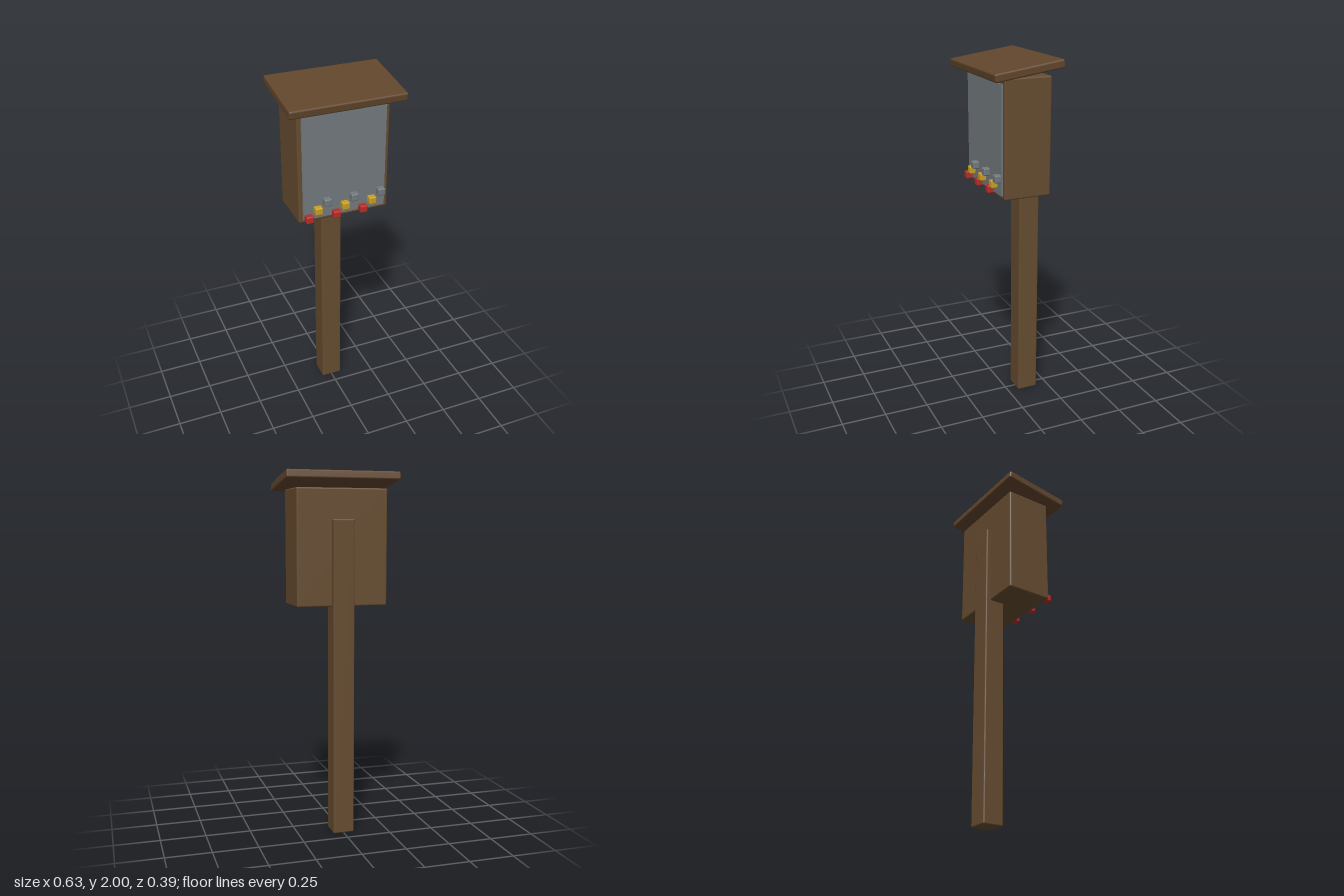
import * as THREE from 'three';
import { RoundedBoxGeometry } from 'three/addons/geometries/RoundedBoxGeometry.js';

const paint = (name, color) => {
  const m = new THREE.MeshStandardMaterial({ color });
  m.name = name;
  return m;
};

export function createModel() {
  const wood = paint('wood', 0x664c30);
  const roofWood = paint('roof wood', 0x62462c);
  const grey = paint('grey', 0x737a7e);
  const red = paint('red', 0xb82c28);
  const yellow = paint('yellow', 0xc9a022);

  const model = new THREE.Group();
  model.name = 'noticeBox';

  // Softly rounded block from its size and centre
  const block = (name, mat, size, pos, radius) => {
    const mesh = new THREE.Mesh(new RoundedBoxGeometry(...size, 2, radius), mat);
    mesh.name = name;
    mesh.position.set(...pos);
    model.add(mesh);
    return mesh;
  };

  block('post', wood, [0.12, 1.745, 0.12], [0, 0.8725, -0.12], 0.008);
  block('cabinet', wood, [0.51, 0.635, 0.265], [0, 1.5925, -0.0175], 0.009);

  // Roof board slopes down toward the front
  const roof = block('roof', roofWood, [0.634, 0.046, 0.387], [0, 1.95, 0], 0.01);
  roof.rotation.x = THREE.MathUtils.degToRad(8.1);

  // Thin board on the cabinet front
  const panel = new THREE.Mesh(new THREE.BoxGeometry(0.466, 0.585, 0.009), grey);
  panel.name = 'frontPanel';
  panel.position.set(0, 1.5875, 0.1185);
  model.add(panel);

  // Small pegs in three rising diagonal runs
  const colours = [red, yellow, grey];
  for (let i = 0; i < 9; i++) {
    const step = i % 3;
    block('peg', colours[step], [0.042, 0.042, 0.042],
      [-0.205 + i * 0.0513, 1.305 + step * 0.041, 0.135], 0.007);
  }
  return model;
}
